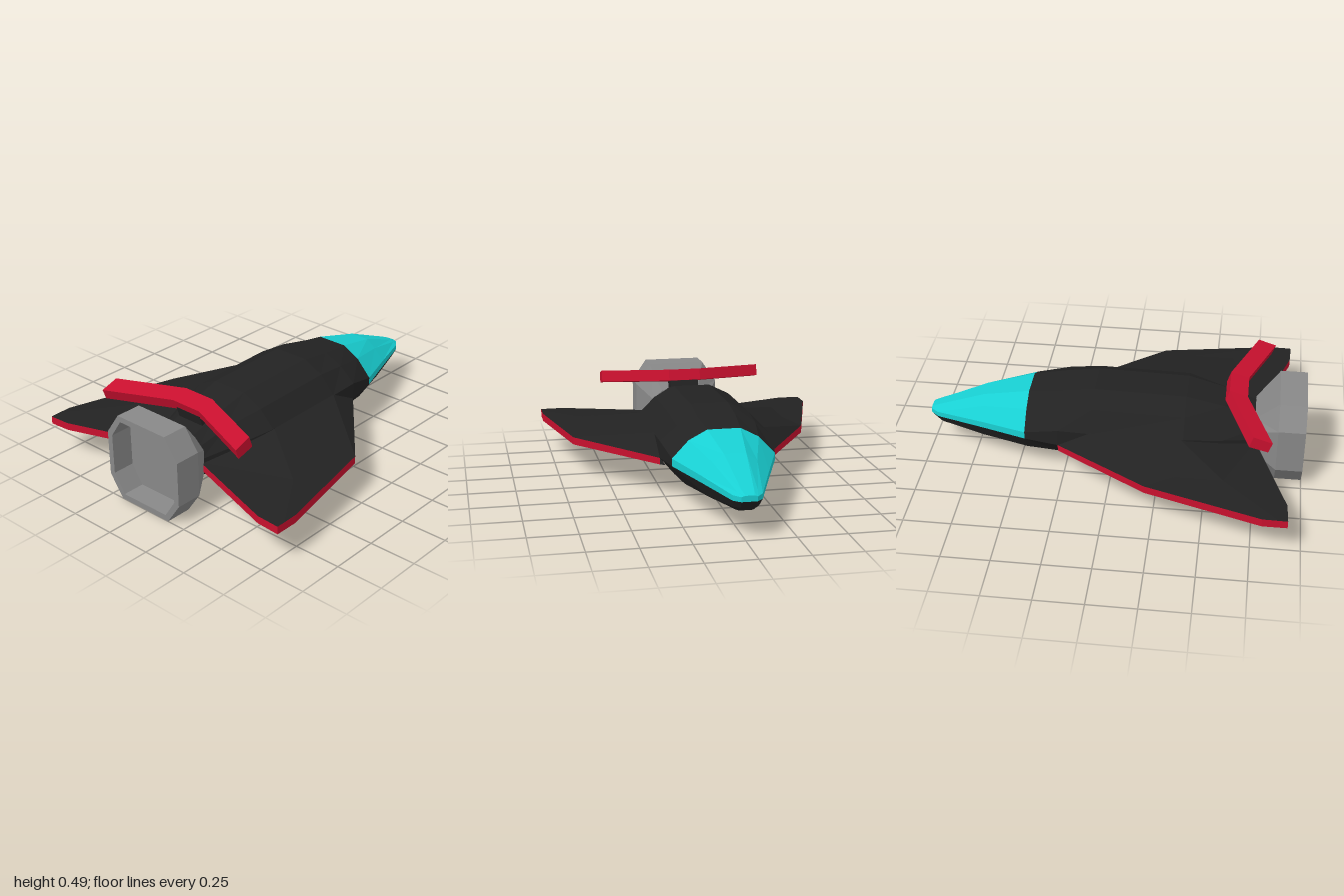
import * as THREE from 'three';

const material = (color) =>
  new THREE.MeshStandardMaterial({ color, flatShading: true, side: THREE.DoubleSide });
const dark = material(0x222222);
const red = material(0xc8102e);
const cyan = material(0x18cfd2);
const grey = material(0x888888);

// Skin a list of equally long rows of [x, y, z] points
function loft(name, rows, mat, closed = false, caps = false) {
  const n = rows[0].length;
  const index = [];
  for (let r = 0; r < rows.length - 1; r++) {
    for (let i = 0; i < (closed ? n : n - 1); i++) {
      const a = r * n + i, b = r * n + ((i + 1) % n);
      index.push(a, b, a + n, b, b + n, a + n);
    }
  }
  if (caps) {
    const last = (rows.length - 1) * n;
    for (let i = 1; i < n - 1; i++) {
      index.push(0, i + 1, i, last, last + i, last + i + 1);
    }
  }
  const indexed = new THREE.BufferGeometry();
  indexed.setAttribute('position', new THREE.Float32BufferAttribute(rows.flat(2), 3));
  indexed.setIndex(index);
  const geometry = indexed.toNonIndexed();
  geometry.computeVertexNormals();
  const mesh = new THREE.Mesh(geometry, mat);
  mesh.name = name;
  return mesh;
}

// Complete a half row by mirroring it in x
const mirrored = (half) => [...half, ...half.map(([x, y, z]) => [-x, y, z]).reverse()];

// Hull stations: z, roof half width and y, shoulder x y, side x, side top y, side low y,
// chine x y, keel half width and y, keel z
const stations = [
  [-1.0, 0.02, 0.22, 0.03, 0.218, 0.04, 0.214, 0.19, 0.035, 0.155, 0.025, 0.132, -0.945],
  [-0.96, 0.03, 0.237, 0.05, 0.228, 0.073, 0.215, 0.188, 0.06, 0.15, 0.04, 0.126, -0.92],
  [-0.7, 0.055, 0.34, 0.11, 0.30, 0.17, 0.24, 0.205, 0.13, 0.13, 0.07, 0.10, -0.7],
  [-0.45, 0.085, 0.40, 0.18, 0.35, 0.265, 0.26, 0.22, 0.2, 0.125, 0.1, 0.095, -0.45],
  [-0.27, 0.1, 0.425, 0.205, 0.38, 0.295, 0.305, 0.215, 0.22, 0.125, 0.1, 0.093, -0.27],
  [-0.1, 0.1, 0.45, 0.21, 0.395, 0.295, 0.30, 0.21, 0.22, 0.125, 0.1, 0.093, -0.1],
  [0.38, 0.1, 0.44, 0.21, 0.385, 0.295, 0.30, 0.2, 0.22, 0.125, 0.1, 0.093, 0.38],
  [0.58, 0.09, 0.39, 0.16, 0.345, 0.23, 0.27, 0.19, 0.19, 0.125, 0.09, 0.10, 0.58],
  [0.75, 0.08, 0.33, 0.13, 0.29, 0.16, 0.24, 0.18, 0.14, 0.14, 0.08, 0.115, 0.75],
];

function hull() {
  const group = new THREE.Group();
  group.name = 'hull';
  const upper = stations.map(([z, rx, ry, sx, sy, wx, wt, wl]) =>
    mirrored([[wx, wl, z], [wx, wt, z], [sx, sy, z], [rx, ry, z]]));
  const lower = stations.map(([z, , , , , wx, , wl, cx, cy, kx, ky, kz]) =>
    mirrored([[wx, wl, z], [cx, cy, (z + kz) / 2], [kx, ky, kz]]));
  const cap = (name, row, mat) =>
    loft(name, [row.slice(0, row.length / 2), row.slice(row.length / 2).reverse()], mat);
  group.add(
    loft('canopy', upper.slice(0, 4), cyan),
    cap('canopyTip', upper[0], cyan),
    loft('upperHull', upper.slice(3), dark),
    loft('lowerHull', lower, dark),
    cap('noseTip', lower[0], dark),
    cap('upperTail', upper.at(-1), dark),
    cap('lowerTail', lower.at(-1), dark),
  );
  return group;
}

// Wing with thin edge trim; all x values are distances from x = 0
function wing(name, s, root, kink, tip, inner, tail) {
  const group = new THREE.Group();
  group.name = name;
  const side = (rows) => rows.map((row) => row.map(([x, y, z]) => [s * x, y, z]));
  const crest = kink - 0.07;
  const top = [
    [[root, 0.215, -0.27], [root, 0.305, -0.1], [root, 0.30, 0.37], [tail, 0.215, 0.75]],
    [[kink, 0.22, 0.21], [crest, 0.237, 0.35], [crest, 0.237, 0.6], [inner, 0.215, 0.92]],
    [[tip, 0.215, 0.8], [tip, 0.215, 0.84], [tip, 0.215, 0.88], [tip, 0.213, 0.925]],
  ];
  const bottom = [
    [[root, 0.18, -0.27], [0.22, 0.125, -0.1], [0.22, 0.125, 0.4], [tail, 0.175, 0.75]],
    [[kink, 0.18, 0.21], [crest, 0.155, 0.35], [crest, 0.155, 0.6], [inner, 0.175, 0.92]],
    [[tip, 0.172, 0.8], [tip, 0.172, 0.84], [tip, 0.172, 0.88], [tip, 0.172, 0.925]],
  ];
  const outline = (rows) => [...rows.map((r) => r[0]), ...rows.map((r) => r[3]).reverse()];
  const low = outline(bottom);
  const trim = outline(top).map((p, i) => [p, low[i]]);
  group.add(
    loft('wingTop', side(top), dark),
    loft('wingBottom', side(bottom), dark),
    loft('wingTrim', side(trim), red),
  );
  return group;
}

// Chamfered rectangle: half sizes hx, hy and half lengths of the flat sides fx, fy
function octagon(hx, hy, fx, fy, cy, z) {
  return [[fx, hy], [hx, fy], [hx, -fy], [fx, -hy], [-fx, -hy], [-hx, -fy], [-hx, fy], [-fx, hy]]
    .map(([x, y]) => [x, cy + y, z]);
}

function nozzle() {
  return loft('engineNozzle', [
    octagon(0.16, 0.11, 0.105, 0.06, 0.225, 0.74),
    octagon(0.24, 0.235, 0.16, 0.12, 0.235, 0.86),
    octagon(0.24, 0.235, 0.16, 0.12, 0.235, 1.0),
    octagon(0.21, 0.205, 0.145, 0.107, 0.235, 1.0),
    octagon(0.21, 0.205, 0.145, 0.107, 0.235, 0.88),
  ], grey, true, true);
}

// Swept rear spoiler with a short support
function spoiler() {
  const group = new THREE.Group();
  group.name = 'spoiler';
  const profile = [[0.47, 0.735], [0.44, 0.83], [0.385, 0.81], [0.41, 0.715]];
  const rows = [[-0.46, 0], [-0.09, 1], [0.09, 1], [0.46, 0]].map(([x, mid]) =>
    profile.map(([y, z]) => [x, y + 0.018 * mid, z - 0.135 * mid]));
  const support = new THREE.Mesh(new THREE.BoxGeometry(0.16, 0.09, 0.08), dark);
  support.name = 'spoilerSupport';
  support.position.set(0, 0.385, 0.63);
  support.rotation.x = 0.3;
  group.add(loft('spoilerBlade', rows, red, true, true), support);
  return group;
}

export function createModel() {
  const model = new THREE.Group();
  model.name = 'spacecraft';
  const body = new THREE.Group();
  body.name = 'body';
  body.position.x = -0.017;
  body.add(hull(), nozzle(), spoiler());
  model.add(
    body,
    wing('leftWing', 1, 0.278, 0.67, 0.785, 0.66, 0.13),
    wing('rightWing', -1, 0.312, 0.61, 0.79, 0.67, 0.165),
  );
  return model;
}
